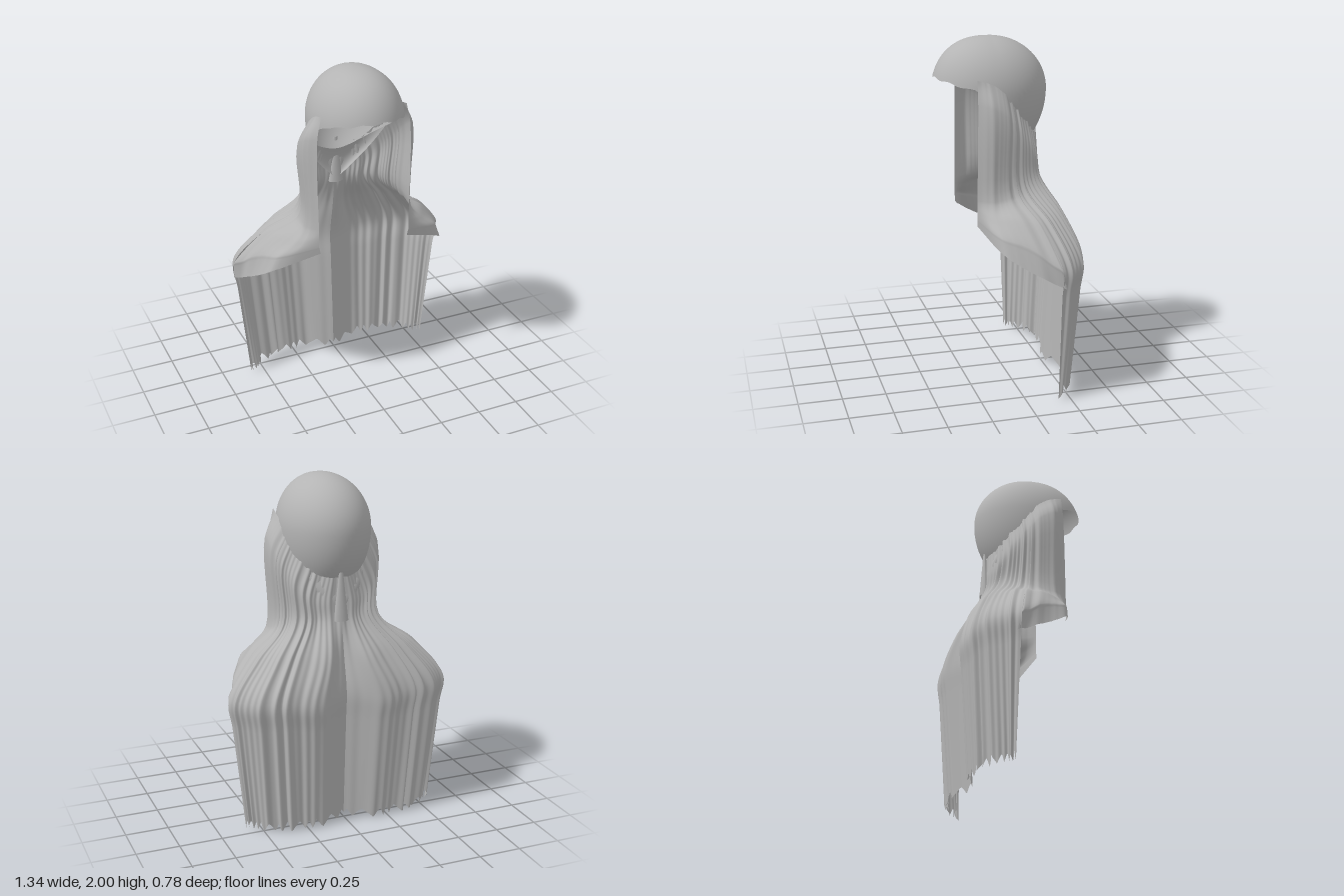
import * as THREE from 'three';
import { mergeVertices } from 'three/addons/utils/BufferGeometryUtils.js';

// Smooth grid surface from a point function of u, v in 0..1
function sheet(point, nu, nv, flip = false) {
  const pos = [], idx = [];
  for (let j = 0; j <= nv; j++)
    for (let i = 0; i <= nu; i++) pos.push(...point(i / nu, j / nv).toArray());
  for (let j = 0; j < nv; j++)
    for (let i = 0; i < nu; i++) {
      const a = j * (nu + 1) + i, b = a + 1, c = a + nu + 1, d = c + 1;
      if (flip) idx.push(a, c, b, b, c, d);
      else idx.push(a, b, c, b, d, c);
    }
  let g = new THREE.BufferGeometry();
  g.setAttribute('position', new THREE.Float32BufferAttribute(pos, 3));
  g.setIndex(idx);
  g = mergeVertices(g, 1e-5);
  g.computeVertexNormals();
  return g;
}

// Each column runs from the cap rim to the hem: rim, neck, shoulder, upper arm, hem
const curtainColumns = [
  [[0, 1.45, -.19], [0, 1.2, -.215], [0, 1, -.25], [0, .8, -.29], [0, .03, -.25]],
  [[.06, 1.45, -.18], [.09, 1.2, -.2], [.14, 1, -.32], [.22, .78, -.385], [.2, .03, -.325]],
  [[.13, 1.47, -.15], [.17, 1.2, -.18], [.28, 1.02, -.28], [.38, .8, -.36], [.34, .03, -.31]],
  [[.19, 1.54, -.1], [.24, 1.2, -.13], [.39, 1.01, -.24], [.52, .8, -.32], [.47, .03, -.27]],
  [[.23, 1.6, -.05], [.28, 1.18, -.08], [.46, 1.01, -.18], [.62, .8, -.25], [.55, .03, -.21]],
  [[.25, 1.66, 0], [.31, 1.16, -.02], [.5, 1.01, -.1], [.665, .8, -.17], [.585, .03, -.18]],
];
const flapColumns = [
  [[.25, 1.66, 0], [.31, 1.16, -.02], [.5, 1.01, -.1], [.665, .8, -.17], [.66, .69, -.195]],
  [[.26, 1.73, .06], [.33, 1.13, .06], [.45, 1.04, .04], [.56, .92, 0], [.6, .78, -.02]],
  [[.26, 1.77, .13], [.33, 1.12, .13], [.4, 1.03, .14], [.49, .96, .13], [.53, .87, .12]],
  [[.255, 1.79, .2], [.28, 1.12, .21], [.28, 1.06, .21], [.28, 1.01, .21], [.27, .97, .21]],
];

// Path down one column, bulging below the rim and straight below the arm
function columnPath(points) {
  const p = points.map(q => new THREE.Vector3(...q));
  const bulge = new THREE.Vector3(p[1].x, p[0].y - .13, THREE.MathUtils.lerp(p[0].z, p[1].z, .3));
  const arm = p[3].clone().lerp(p[4], .22);
  return new THREE.CatmullRomCurve3([p[0], bulge, p[1], p[2], p[3], arm, p[4]], false, 'centripetal');
}

// Draped cloth with irregular pleats and a ragged hem
function drape(columns, side, fold, ragged, nu, nv) {
  const paths = columns.map(columnPath);
  const rows = [];
  for (let j = 0; j <= nv; j++)
    rows.push(new THREE.CatmullRomCurve3(paths.map(c => c.getPoint(j / nv))));
  return sheet((u, v) => {
    const p = rows[Math.round(v * nv)].getPoint(u);
    const s = u * (columns.length - 1);
    const out = new THREE.Vector3(p.x, 0, p.z - .25).normalize();
    const wave = Math.sin(s * 8 + 2.4 * Math.sin(s * 2.6)) + .3 * Math.sin(s * 19);
    p.addScaledVector(out, fold(u) * wave * Math.min(1, .4 + v * 1.5));
    p.y += ragged * Math.asin(Math.sin(s * 15 + Math.sin(s * 5))) * v ** 16;
    p.x *= side;
    return p;
  }, nu, nv, side < 0);
}

// Point on the domed cap at angle a from the front, v from crown to rim
function capPoint(a, v) {
  const c = Math.cos(a);
  const rim = c > .4
    ? .08 - .05 * (1 - c) / .6 + .005 * Math.sin(a * 13)
    : .03 - .31 * (.4 - c) / 1.4;
  const phi = v * Math.acos(rim / (rim > 0 ? .3 : .4));
  const y = Math.cos(phi), r = Math.abs(Math.sin(phi)) ** (1 - .2 * Math.max(0, c));
  return new THREE.Vector3(.265 * r * Math.sin(a), 1.7 + y * (y > 0 ? .3 : .4), .07 + .33 * r * c);
}

export function createModel() {
  const model = new THREE.Group();
  const grey = new THREE.MeshStandardMaterial({ color: 0xb4b4b4, side: THREE.DoubleSide });
  grey.name = 'grey';
  const add = (name, geometry) => {
    const mesh = new THREE.Mesh(geometry, grey);
    mesh.name = name;
    model.add(mesh);
  };

  // Cap, short over the brow and deep at the back of the head
  add('cap', sheet((u, v) => capPoint(Math.PI * (1 - 2 * u), v), 72, 28, true));

  // Nape piece continuing the rear rim down to a point
  const tip = new THREE.Vector3(0, 1.22, -.185);
  add('nape', sheet((u, v) => {
    const t = u * 2 - 1;
    const p = capPoint(Math.PI - t * 1.25, 1).lerp(tip, v);
    p.x += .04 * t * Math.sin(Math.PI * v);
    p.z -= .02 * Math.sin(Math.PI * v);
    return p;
  }, 24, 10));

  // Narrow lock rising behind the nape, open where it meets the curtain
  const lock = new THREE.CylinderGeometry(.012, .045, .28, 10, 4, true);
  lock.scale(1, 1, .6).translate(0, 1.34, -.2);
  add('napeLock', lock);

  // Pleated back curtain and the flap falling over each shoulder
  for (const side of [1, -1]) {
    const label = side > 0 ? 'left' : 'right';
    const pleat = u => .012 * Math.min(1, u * 5, (1 - u) * 6);
    add(label + 'Curtain', drape(curtainColumns, side, pleat, .017, 110, 42));
    add(label + 'ShoulderFlap', drape(flapColumns, side, u => .01 * (1 - u), 0, 24, 42));
  }
  return model;
}
